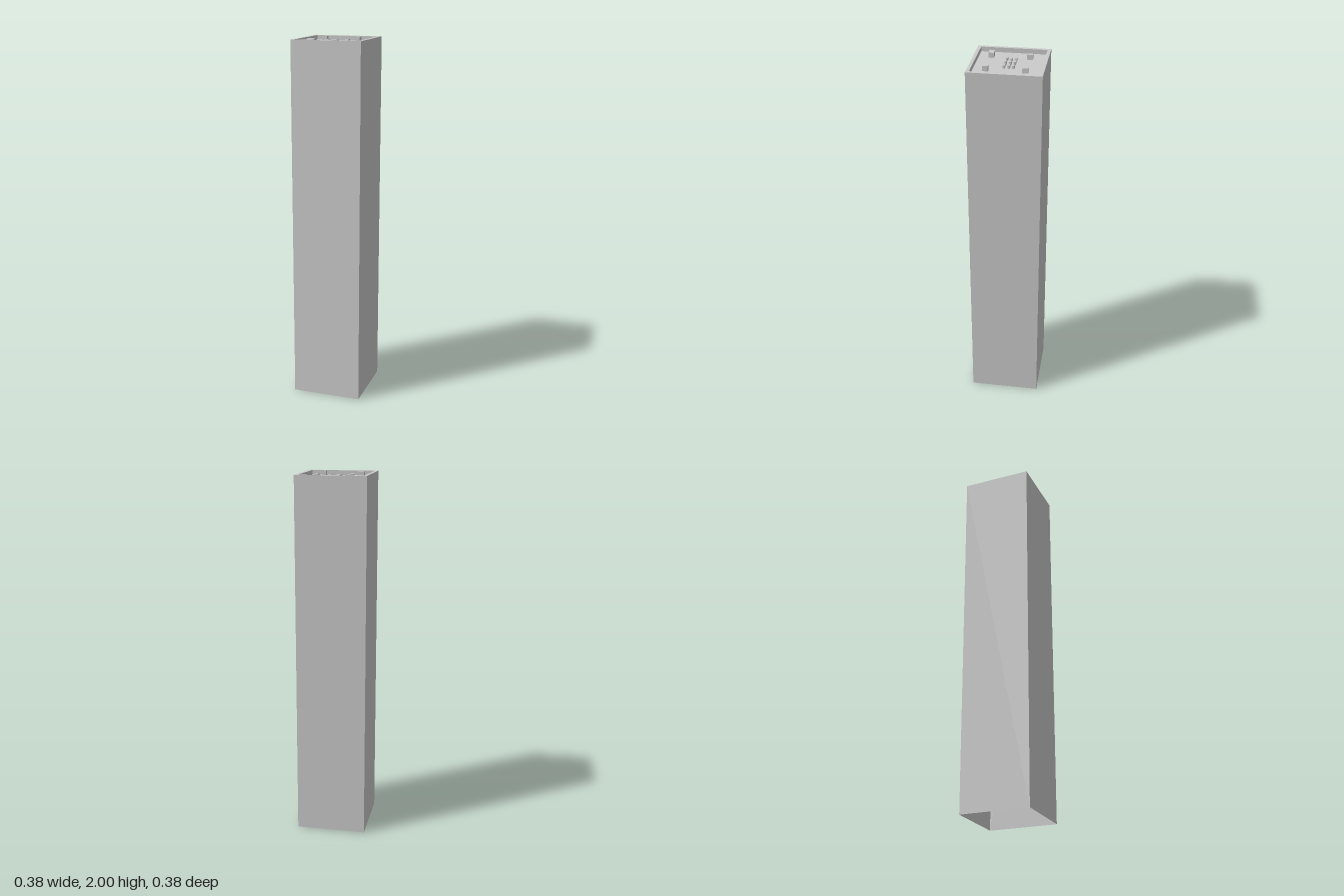
import * as THREE from 'three';

const TOP = 1.998, FLOOR = 1.973, OUTER = 0.192, INNER = 0.174;

export function createModel() {
  const model = new THREE.Group();
  const material = new THREE.MeshStandardMaterial({ color: 0xcccccc, flatShading: true, side: THREE.DoubleSide });

  const add = (name, geometry, parent = model) => {
    const mesh = new THREE.Mesh(geometry, material);
    mesh.name = name;
    parent.add(mesh);
    return mesh;
  };

  // Square tower shell, open underneath, with a rim stepping down to the roof
  const profile = [[OUTER, 0], [OUTER, TOP], [INNER, TOP], [INNER, FLOOR]]
    .map(([half, y]) => new THREE.Vector2(half * Math.SQRT2, y));
  const shell = new THREE.LatheGeometry(profile, 4, Math.PI / 4).toNonIndexed();
  shell.computeVertexNormals();
  add('towerWallsAndParapet', shell);

  // Sunken roof deck
  const deck = add('roofDeck', new THREE.PlaneGeometry(2 * INNER, 2 * INNER).rotateX(-Math.PI / 2));
  deck.position.y = FLOOR;

  // A box standing on the roof deck, centred at x, z
  const roofBox = (name, parent, x, z, width, height, depth) => {
    const box = add(name, new THREE.BoxGeometry(width, height, depth), parent);
    box.position.set(x, FLOOR + height / 2, z);
  };

  // Larger rooftop units near the corners
  const units = new THREE.Group();
  units.name = 'cornerUnits';
  model.add(units);
  for (const [x, z, width] of [
    [-0.097, -0.094, 0.021], [0.091, -0.094, 0.021],
    [-0.108, 0.108, 0.043], [0.091, 0.108, 0.021],
  ]) roofBox('cornerUnit', units, x, z, width, 2 - FLOOR, 0.029);

  // Three by three grid of small vents in the middle
  const vents = new THREE.Group();
  vents.name = 'vents';
  model.add(vents);
  for (const x of [-0.062, -0.012, 0.04])
    for (const z of [-0.027, -0.004, 0.021])
      roofBox('vent', vents, x, z, 0.022, 0.016, 0.01);

  return model;
}
